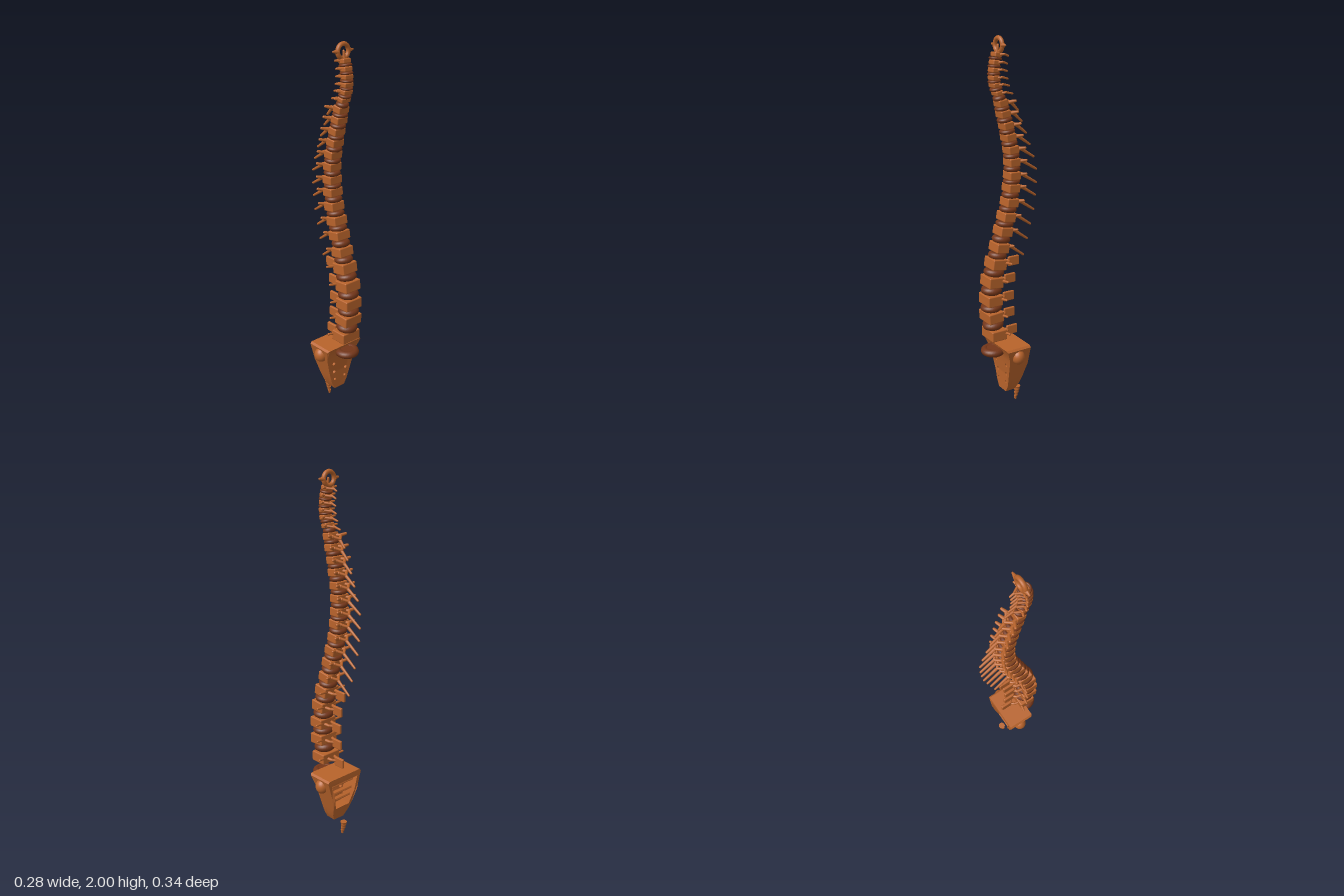
import * as THREE from 'three';
import { toCreasedNormals } from 'three/addons/utils/BufferGeometryUtils.js';
import { RoundedBoxGeometry } from 'three/addons/geometries/RoundedBoxGeometry.js';

const bone = new THREE.MeshStandardMaterial({ color: 0xb8632b });
bone.name = 'bone';
const cartilage = new THREE.MeshStandardMaterial({ color: 0x743619 });
cartilage.name = 'cartilage';

function add(parent, name, geometry, x = 0, y = 0, z = 0, material = bone) {
  const mesh = new THREE.Mesh(geometry, material);
  mesh.name = name;
  mesh.position.set(x, y, z);
  parent.add(mesh);
  return mesh;
}

// tapered rod with a rounded tip, from point a to point b
function rod(parent, name, a, b, r1, r2) {
  const from = new THREE.Vector3(...a), to = new THREE.Vector3(...b);
  const dir = to.clone().sub(from), len = dir.length();
  const g = new THREE.Group();
  g.name = name;
  g.position.copy(from);
  g.quaternion.setFromUnitVectors(new THREE.Vector3(0, 1, 0), dir.normalize());
  add(g, name + 'Shaft', new THREE.CylinderGeometry(r2, r1, len, 10), 0, len / 2, 0);
  add(g, name + 'Tip', new THREE.SphereGeometry(r2, 10, 8), 0, len, 0);
  parent.add(g);
}

// piecewise linear lookup in a list of [y, value], y descending
function lookup(table, y) {
  for (let i = 1; i < table.length; i++) {
    const [y0, v0] = table[i - 1], [y1, v1] = table[i];
    if (y >= y1 || i === table.length - 1) return v0 + (v1 - v0) * (y0 - y) / (y0 - y1);
  }
}

// each vertebra: y, z
const cervical = [[1.91, 0.065], [1.873, 0.075], [1.837, 0.08], [1.80, 0.08], [1.765, 0.075], [1.725, 0.06]];
const thoracic = [[1.675, 0.04], [1.62, 0.027], [1.56, 0.01], [1.5, -0.003], [1.435, -0.018], [1.37, -0.025],
  [1.3, -0.025], [1.235, -0.02], [1.16, -0.01], [1.085, 0.01], [1.01, 0.03], [0.925, 0.053]];
const lumbar = [[0.84, 0.075], [0.745, 0.098], [0.645, 0.106], [0.55, 0.102], [0.445, 0.085]];

function cervicalProcesses(v, i) {
  for (const s of [-1, 1]) {
    rod(v, 'transverseProcess', [s * 0.018, 0, -0.01], [s * 0.042, 0.004, -0.02], 0.008, 0.005);
    rod(v, 'lamina', [s * 0.02, 0, -0.015], [0, -0.003, -0.05], 0.006, 0.005);
  }
  rod(v, 'spinousProcess', [0, 0, -0.045], [0, -0.01, -0.068 - i * 0.004], 0.006, 0.005);
}

function thoracicProcesses(v, i) {
  const k = i / 11, reach = 0.1 + 0.05 * Math.min(1, i / 5);
  for (const s of [-1, 1]) {
    rod(v, 'pedicle', [s * 0.02, 0.005, -0.02], [s * 0.026, 0.005, -0.045], 0.009, 0.009);
    rod(v, 'transverseProcess', [s * 0.024, 0.003, -0.035], [s * (0.056 + 0.004 * k), 0.012, -0.05], 0.01, 0.007);
    rod(v, 'lamina', [s * 0.026, 0.005, -0.045], [0, -0.006, -0.07], 0.008, 0.007);
  }
  rod(v, 'spinousProcess', [0, -0.004, -0.062], [0, -0.045 - 0.025 * k, -reach], 0.009, 0.006);
}

function lumbarProcesses(v, i) {
  for (const s of [-1, 1]) {
    rod(v, 'pedicle', [s * 0.025, 0, -0.035], [s * 0.018, -0.003, -0.068], 0.009, 0.008);
    rod(v, 'lamina', [s * 0.018, -0.003, -0.068], [0, -0.006, -0.085], 0.008, 0.008);
    rod(v, 'transverseProcess', [s * 0.03, 0.004, -0.035], [s * 0.085, 0.01, -0.045], 0.009, 0.006);
  }
  add(v, 'spinousProcess', new RoundedBoxGeometry(0.016, 0.052, 0.066, 2, 0.005), 0, -0.007, -0.11);
}

// sacrum outline: half width, front and back depth by height
const halfWidth = y => 0.045 + (y - 0.09) / 0.28 * 0.078;
const frontZ = y => lookup([[0.375, 0.08], [0.345, 0.06], [0.3, 0.05], [0.2, 0.036], [0.09, 0.035]], y);
const backZ = y => lookup([[0.375, -0.07], [0.26, -0.07], [0.18, -0.052], [0.09, -0.022]], y);

function sacrumOutline() {
  const levels = [0.09, 0.13, 0.18, 0.22, 0.26, 0.3, 0.345, 0.365];
  const side = levels.map(y => new THREE.Vector2(halfWidth(y) - (y === 0.09 ? 0.01 : 0), y));
  side.push(new THREE.Vector2(0.112, 0.375));
  return new THREE.Shape([...side, ...side.slice().reverse().map(p => new THREE.Vector2(-p.x, p.y))]);
}

// extrude unit depth, then place each layer between two depth curves
function sacrumLayer(shape, z0, z1) {
  const g = new THREE.ExtrudeGeometry(shape, { depth: 1, bevelEnabled: false, curveSegments: 6 });
  const p = g.attributes.position;
  for (let i = 0; i < p.count; i++) {
    const y = p.getY(i), a = z0(y), b = z1(y);
    p.setZ(i, a + (b - a) * p.getZ(i));
  }
  g.deleteAttribute('normal');
  g.computeVertexNormals();
  return toCreasedNormals(g, 0.7);
}

function buildSacrum() {
  const g = new THREE.Group();
  g.name = 'sacrum';
  const innerZ = y => frontZ(y) - 0.025;

  const front = sacrumOutline();
  for (const s of [-1, 1]) {
    for (const [x, y, r] of [[0.05, 0.257, 0.01], [0.042, 0.2, 0.01], [0.036, 0.15, 0.008]]) {
      const hole = new THREE.Path();
      hole.absarc(s * x, y, r, 0, Math.PI * 2, true);
      front.holes.push(hole);
    }
  }
  add(g, 'sacrumFront', sacrumLayer(front, innerZ, frontZ));

  const frame = sacrumOutline();
  const inset = [0.175, 0.22, 0.26, 0.3, 0.34].map(y => new THREE.Vector2(halfWidth(y) - 0.02, y));
  frame.holes.push(new THREE.Path([...inset, ...inset.slice().reverse().map(p => new THREE.Vector2(-p.x, p.y))]));
  add(g, 'sacrumFrame', sacrumLayer(frame, backZ, innerZ));

  // bars across the back opening
  for (const y of [0.31, 0.262, 0.222]) {
    const bar = add(g, 'sacrumBar', new RoundedBoxGeometry(halfWidth(y) * 2 - 0.03, 0.014, 0.04, 2, 0.004), 0, y, -0.025);
    bar.rotation.x = 0.35;
  }
  // side knobs
  for (const s of [-1, 1]) {
    const knob = add(g, 'sacrumKnob', new THREE.SphereGeometry(0.036, 20, 14), s * 0.105, 0.32, 0);
    knob.scale.y = 1.15;
  }
  return g;
}

export function createModel() {
  const model = new THREE.Group();
  model.name = 'spine';

  // atlas ring and the peg it turns on
  const atlas = new THREE.Group();
  atlas.name = 'atlas';
  atlas.position.set(0, 1.955, 0.052);
  add(atlas, 'atlasRing', new THREE.TorusGeometry(0.034, 0.0115, 10, 28));
  for (const s of [-1, 1]) rod(atlas, 'atlasWing', [s * 0.035, 0, 0], [s * 0.062, 0.002, 0], 0.013, 0.005);
  model.add(atlas);
  rod(model, 'dens', [0, 1.91, 0.062], [0, 1.955, 0.056], 0.009, 0.006);

  // vertebrae from neck to lower back, with body size by region
  const all = [
    ...cervical.map(([y, z], i) => ({ y, z, i, name: 'cervicalVertebra', size: [0.05 + i * 0.002, 0.024, 0.04], arms: cervicalProcesses })),
    ...thoracic.map(([y, z], i) => ({ y, z, i, name: 'thoracicVertebra', size: [0.066 + i * 0.0025, 0.036 + i * 0.0013, 0.052 + i * 0.002], arms: thoracicProcesses })),
    ...lumbar.map(([y, z], i) => ({ y, z, i, name: 'lumbarVertebra', size: [0.1 + i * 0.005, 0.058, 0.084 + i * 0.002], arms: lumbarProcesses })),
  ];
  all.forEach((v, n) => {
    const up = all[Math.max(0, n - 1)], down = all[Math.min(all.length - 1, n + 1)];
    const g = new THREE.Group();
    g.name = v.name;
    g.position.set(0, v.y, v.z);
    const [w, h, d] = v.size;
    const body = add(g, 'vertebraBody', new RoundedBoxGeometry(w, h, d, 2, 0.006));
    body.rotation.x = n === all.length - 1 ? 0 : Math.atan2(up.z - down.z, up.y - down.y) * 0.6;
    v.arms(g, v.i);
    model.add(g);

    // disc below this vertebra
    const last = down === v;
    const y = last ? 0.342 : (v.y + down.y) / 2, z = last ? 0.095 : (v.z + down.z) / 2;
    const tube = last ? 0.021 : Math.max(0.004, (v.y - down.y - h) * 0.5);
    const outer = last ? 0.066 : d / 2 + 0.013;
    const disc = new THREE.Group();
    disc.name = 'disc';
    disc.position.set(0, y, z);
    if (!last) disc.rotation.x = Math.atan2(v.z - down.z, v.y - down.y) * 0.6;
    const ring = new THREE.TorusGeometry(outer - tube, tube, 10, 28).rotateX(Math.PI / 2);
    add(disc, 'discRim', ring, 0, 0, 0, cartilage);
    add(disc, 'discCore', new THREE.CylinderGeometry(outer - tube, outer - tube, tube * 1.6, 28), 0, 0, 0, cartilage);
    model.add(disc);
  });

  model.add(buildSacrum());

  // tailbone: shrinking stacked segments
  const tail = new THREE.Group();
  tail.name = 'coccyx';
  [[0.072, -0.061, 0.019], [0.052, -0.059, 0.015], [0.034, -0.055, 0.012], [0.014, -0.05, 0.009]].forEach(([y, z, r]) => {
    add(tail, 'coccyxSegment', new THREE.CylinderGeometry(r, r * 0.65, 0.02, 12), 0, y, z);
    add(tail, 'coccyxJoint', new THREE.SphereGeometry(r * 0.8, 12, 8), 0, y - 0.006, z);
  });
  model.add(tail);
  return model;
}
